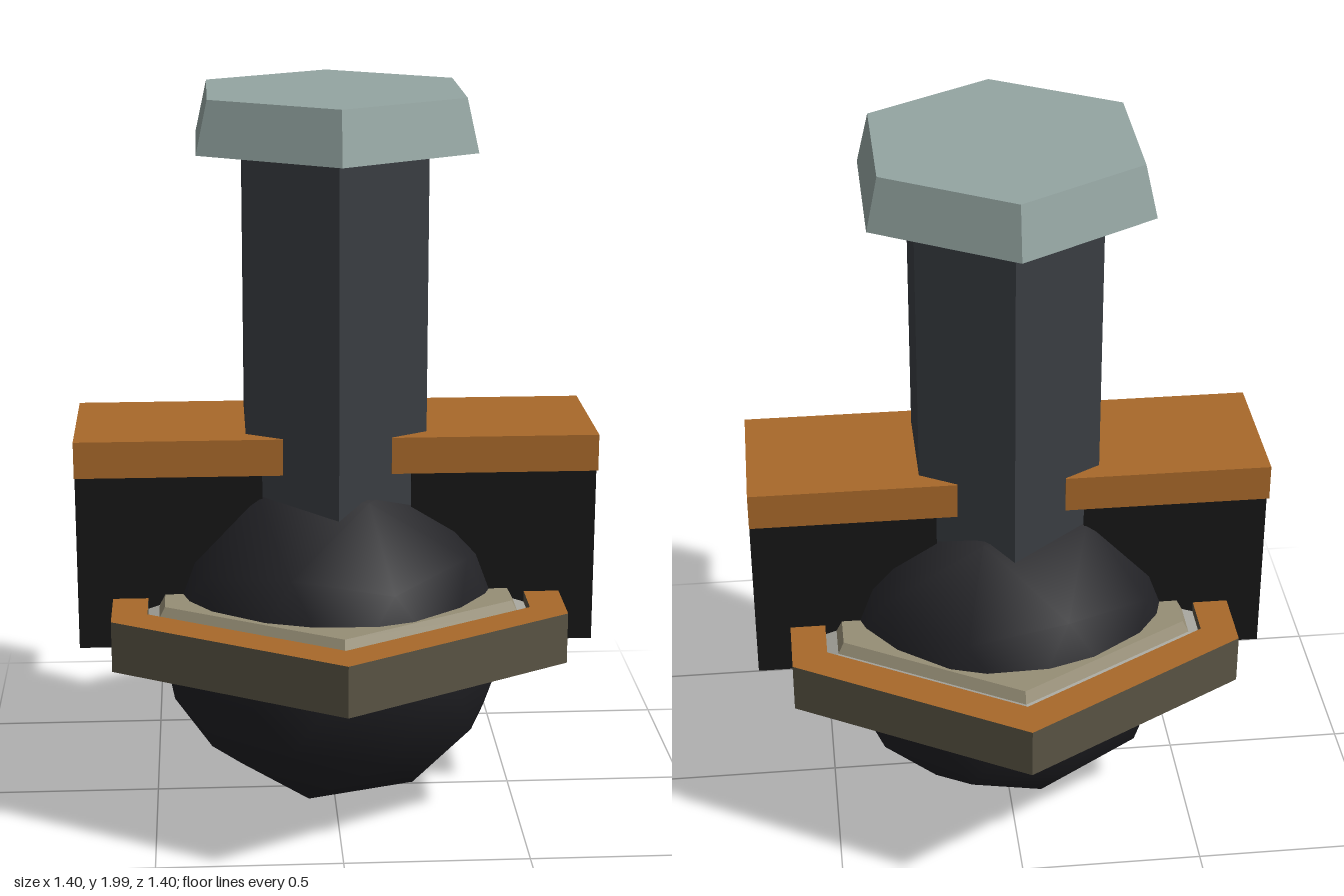
import * as THREE from 'three';

const mat = (color, flatShading = true) =>
  new THREE.MeshStandardMaterial({ color, flatShading, side: THREE.DoubleSide });

export function createModel() {
  const model = new THREE.Group();
  const orange = mat(0xa8692a), black = mat(0x161616), steel = mat(0x94a5a2);
  const olive = mat(0x5a5444), silver = mat(0xa3a29a), beige = mat(0x968e76);

  const add = (name, geometry, material, x = 0, y = 0, z = 0) => {
    const mesh = new THREE.Mesh(geometry, material);
    mesh.name = name;
    mesh.position.set(x, y, z);
    model.add(mesh);
  };
  // Six-sided ring surface from [corner radius, height] points
  const hex = (points) =>
    new THREE.LatheGeometry(points.map(([r, y]) => new THREE.Vector2(r, y)), 6);

  // Faceted ball, turned so a vertex sits at each pole
  const ball = new THREE.IcosahedronGeometry(0.5, 1);
  ball.rotateZ(-Math.atan(2 / (1 + Math.sqrt(5))));
  add('ball', ball, mat(0x202024, false), 0, 0.51, 0);

  // Shaft and bevelled cap
  add('shaft', new THREE.CylinderGeometry(0.28, 0.28, 1.16, 6), mat(0x3a3e43), 0, 1.28, 0);
  add('cap', new THREE.CylinderGeometry(0.385, 0.42, 0.14, 6), steel, 0, 1.93, 0);

  // Hexagonal collar around the ball: body, coloured rim, inner step and plate
  add('collarBody', hex([[0.59, 0.65], [0.59, 0.51], [0.7, 0.51], [0.7, 0.65]]), olive);
  add('collarRim', hex([[0.7, 0.65], [0.59, 0.65]]), orange);
  add('collarStep', hex([[0.59, 0.62], [0.555, 0.63]]), silver);
  add('collarPlate', hex([[0.555, 0.63], [0.537, 0.66], [0.44, 0.66]]), beige);

  // Side blocks with overhanging top plates
  for (const [side, s] of [['left', 1], ['right', -1]]) {
    add(side + 'Block', new THREE.BoxGeometry(0.5, 0.49, 0.34), black, s * 0.45, 0.755, 0);
    add(side + 'TopPlate', new THREE.BoxGeometry(0.555, 0.1, 0.4), orange, s * 0.4225, 1.05, 0);
  }
  return model;
}
